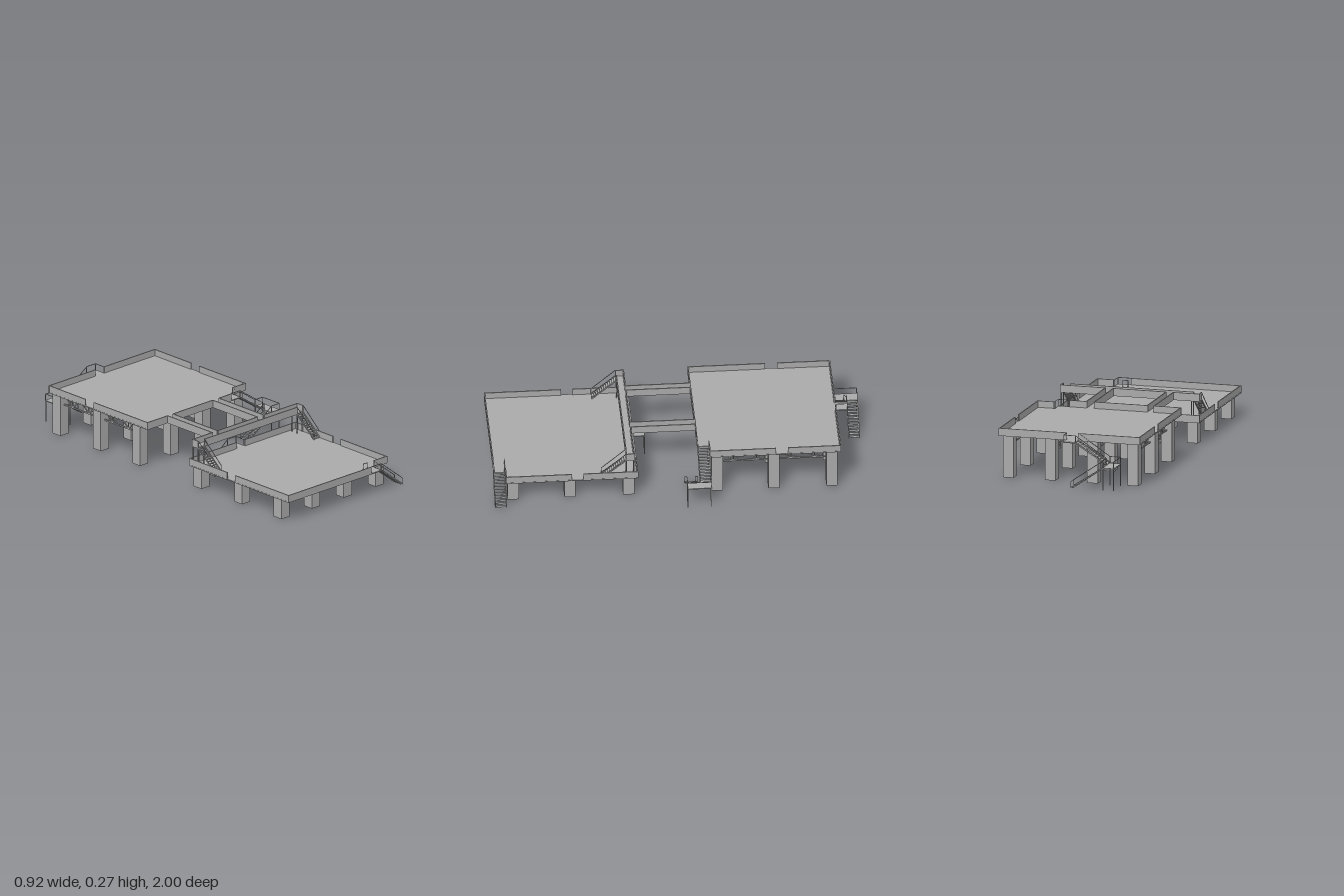
import * as THREE from 'three';

const concrete = new THREE.MeshStandardMaterial({ color: 0xaaaaaa });
concrete.name = 'concrete grey';

const WALL = 0.006, BAR = 0.003, RAIL = 0.036;

// Box given by its two extreme corners
function block(parent, name, x0, x1, y0, y1, z0, z1) {
  const mesh = new THREE.Mesh(new THREE.BoxGeometry(x1 - x0, y1 - y0, z1 - z0), concrete);
  mesh.position.set((x0 + x1) / 2, (y0 + y1) / 2, (z0 + z1) / 2);
  mesh.name = name;
  parent.add(mesh);
  return mesh;
}

// Square bar between two points
function bar(parent, name, a, b, t = BAR) {
  const p = new THREE.Vector3(...a), q = new THREE.Vector3(...b);
  const mesh = new THREE.Mesh(new THREE.BoxGeometry(t, t, p.distanceTo(q)), concrete);
  mesh.position.copy(p).add(q).multiplyScalar(0.5);
  mesh.lookAt(q);
  mesh.name = name;
  parent.add(mesh);
}

function group(parent, name) {
  const g = new THREE.Group();
  g.name = name;
  parent.add(g);
  return g;
}

// Parapet pieces along x or along z; each span is [from, to]
function wallsX(parent, z, y, spans) {
  for (const [a, b] of spans) block(parent, 'parapet', a, b, y, y + 0.036, z - WALL / 2, z + WALL / 2);
}
function wallsZ(parent, x, y, spans) {
  for (const [a, b] of spans) block(parent, 'parapet', x - WALL / 2, x + WALL / 2, y, y + 0.036, a, b);
}

// Flat slab from an outline of [x, z] points
function slab(parent, name, points, y0, y1) {
  const shape = new THREE.Shape(points.map(([x, z]) => new THREE.Vector2(x, -z)));
  const geo = new THREE.ExtrudeGeometry(shape, { depth: y1 - y0, bevelEnabled: false });
  geo.rotateX(-Math.PI / 2);
  const mesh = new THREE.Mesh(geo, concrete);
  mesh.position.y = y0;
  mesh.name = name;
  parent.add(mesh);
}

// Straight stair descending along local +x, centred on local z = 0
function flight(parent, name, x, y, z, run, drop, width, turn) {
  const g = group(parent, name), n = 12, h = width / 2;
  for (let i = 0; i < n; i++) {
    const sx = (i * run) / n, sy = -((i + 0.6) * drop) / n;
    block(g, 'tread', sx, sx + run / n, sy - 0.002, sy, -h, h);
  }
  for (const s of [-h, h]) {
    bar(g, 'stringer', [0, -0.004, s], [run, -drop + 0.003, s], 0.006);
    bar(g, 'handrail', [0, RAIL, s], [run, RAIL - drop, s]);
    for (const k of [0, 1]) {
      bar(g, 'railPost', [k * run, -k * drop, s], [k * run, RAIL - k * drop, s]);
    }
  }
  g.position.set(x, y, z);
  g.rotation.y = turn;
}

// Rail along a path of [x, z] points at floor height y
function railing(parent, y, path) {
  path.forEach(([x, z], i) => {
    bar(parent, 'railPost', [x, y, z], [x, y + RAIL, z]);
    if (i) bar(parent, 'handrail', [path[i - 1][0], y + RAIL, path[i - 1][1]], [x, y + RAIL, z]);
  });
}

// Stair landing plate on thin legs
function landing(parent, x0, x1, z0, z1, y) {
  block(parent, 'landing', x0, x1, y - 0.005, y, z0, z1);
  const i = 0.003;
  for (const x of [x0 + i, x1 - i]) for (const z of [z0 + i, z1 - i]) {
    bar(parent, 'landingLeg', [x, 0, z], [x, y, z], 0.004);
  }
}

const columnX = [-0.415, -0.189, 0.047, 0.283];

function columns(parent, rows, top) {
  for (const x of columnX) for (const z of rows) {
    block(parent, 'column', x - 0.03, x + 0.03, 0, top, z - 0.03, z + 0.03);
  }
}

// Zigzag girder running along z between two columns
function truss(parent, x, z0, z1) {
  const g = group(parent, 'truss'), step = (z1 - z0) / 4, top = 0.229, low = 0.173;
  bar(g, 'bottomChord', [x, low, z0], [x, low, z1], 0.007);
  bar(g, 'topChord', [x, top, z0], [x, top, z1], 0.007);
  for (let i = 0; i < 4; i++) {
    const a = i % 2 ? low : top, b = i % 2 ? top : low;
    bar(g, 'diagonal', [x, a, z0 + i * step], [x, b, z0 + (i + 1) * step], 0.006);
    if (i % 2) bar(g, 'strut', [x, low, z0 + i * step], [x, top, z0 + i * step], 0.005);
  }
}

export function createModel() {
  const model = new THREE.Group();
  model.name = 'twoLevelPlatform';
  const L = -0.46, R = 0.33, wl = -0.456, wr = 0.326;
  const LOW = 0.122, HIGH = 0.236;

  // Lower platform with a stair notch in its front left corner
  const lower = group(model, 'lowerPlatform');
  slab(lower, 'deck', [[L, 0.225], [R, 0.225], [R, 0.932], [0.23, 0.932], [0.23, 0.995], [L, 0.995]], 0.116, LOW);
  columns(lower, [0.275, 0.59, 0.895], 0.117);
  wallsX(lower, 0.992, LOW, [[L, 0.155]]);
  wallsX(lower, 0.932, LOW, [[0.235, R]]);
  wallsX(lower, 0.228, LOW, [[L, -0.112], [-0.05, R]]);
  wallsZ(lower, wl, LOW, [[0.225, 0.52], [0.58, 0.995]]);
  wallsZ(lower, wr, LOW, [[0.225, 0.52], [0.58, 0.935]]);
  railing(lower, LOW, [[0.155, 0.992], [0.23, 0.992]]);
  railing(lower, LOW, [[0.155, 0.932], [0.185, 0.932]]);

  // Upper platform with a stair notch in its front left corner
  const upper = group(model, 'upperPlatform');
  slab(upper, 'deck', [[L, -0.865], [R, -0.865], [R, -0.162], [0.23, -0.162], [0.23, -0.098], [L, -0.098]], 0.23, HIGH);
  const upperRows = [-0.2, -0.505, -0.817];
  columns(upper, upperRows, 0.231);
  wallsX(upper, -0.101, HIGH, [[L, -0.31], [-0.265, 0.025], [0.075, 0.165]]);
  railing(upper, HIGH, [[0.165, -0.101], [0.23, -0.101]]);
  wallsX(upper, -0.162, HIGH, [[0.235, R]]);
  wallsX(upper, -0.862, HIGH, [[L, -0.115], [-0.05, R]]);
  wallsZ(upper, wl, HIGH, [[-0.865, -0.58], [-0.515, -0.098]]);
  wallsZ(upper, wr, HIGH, [[-0.865, -0.58], [-0.515, -0.16]]);
  for (const x of columnX) {
    truss(upper, x, -0.475, -0.23);
    truss(upper, x, -0.787, -0.535);
  }

  // Two bridges leading to a cross walkway over the lower platform
  const walk = group(model, 'walkways');
  for (const [a, b] of [[-0.31, -0.265], [0.025, 0.075]]) {
    block(walk, 'bridgeFloor', a, b, 0.23, HIGH, -0.1, 0.246);
    wallsZ(walk, a + 0.003, HIGH, [[-0.1, 0.246]]);
    wallsZ(walk, b - 0.003, HIGH, [[-0.1, 0.246]]);
  }
  block(walk, 'crossFloor', -0.455, 0.325, 0.23, HIGH, 0.243, 0.29);
  wallsX(walk, 0.246, HIGH, [[-0.455, -0.31], [-0.265, 0.025], [0.075, 0.325]]);
  wallsX(walk, 0.287, HIGH, [[-0.406, 0.279]]);
  wallsZ(walk, -0.452, HIGH, [[0.243, 0.29]]);
  wallsZ(walk, 0.322, HIGH, [[0.243, 0.29]]);
  for (const x of [-0.451, -0.409, 0.281, 0.32]) for (const z of [0.248, 0.287]) {
    bar(walk, 'walkwayPost', [x, LOW, z], [x, HIGH, z], 0.005);
  }
  for (const x of [-0.43, 0.301]) {
    flight(walk, 'walkwayStair', x, HIGH, 0.29, 0.13, HIGH - LOW, 0.044, -Math.PI / 2);
  }

  // Front stair from the lower platform
  const stairs = group(model, 'stairs');
  flight(stairs, 'frontStair', 0.23, LOW, 0.966, 0.153, LOW, 0.06, 0);

  // Rear stair from the lower platform
  landing(stairs, -0.115, -0.05, 0.16, 0.226, LOW);
  railing(stairs, LOW, [[-0.115, 0.162], [-0.052, 0.162], [-0.052, 0.225]]);
  flight(stairs, 'middleStair', -0.115, LOW, 0.193, 0.153, LOW, 0.06, Math.PI);

  // Side stair from the upper platform, in two flights
  flight(stairs, 'sideUpperFlight', 0.23, HIGH, -0.131, 0.168, HIGH - LOW, 0.058, 0);
  landing(stairs, 0.396, 0.457, -0.163, -0.03, LOW);
  railing(stairs, LOW, [[0.398, -0.161], [0.455, -0.161], [0.455, -0.032], [0.398, -0.032]]);
  flight(stairs, 'sideLowerFlight', 0.398, LOW, -0.061, 0.174, LOW, 0.058, Math.PI);

  // Back stair from the upper platform, in two flights
  block(stairs, 'topLanding', -0.118, -0.05, 0.23, HIGH, -0.928, -0.864);
  railing(stairs, HIGH, [[-0.118, -0.926], [-0.052, -0.926], [-0.052, -0.866]]);
  flight(stairs, 'backUpperFlight', -0.118, HIGH, -0.896, 0.176, HIGH - LOW, 0.058, Math.PI);
  landing(stairs, -0.355, -0.292, -1, -0.866, LOW);
  railing(stairs, LOW, [[-0.294, -0.868], [-0.353, -0.868], [-0.353, -0.998], [-0.294, -0.998]]);
  flight(stairs, 'backLowerFlight', -0.292, LOW, -0.969, 0.178, LOW, 0.056, 0);

  return model;
}
